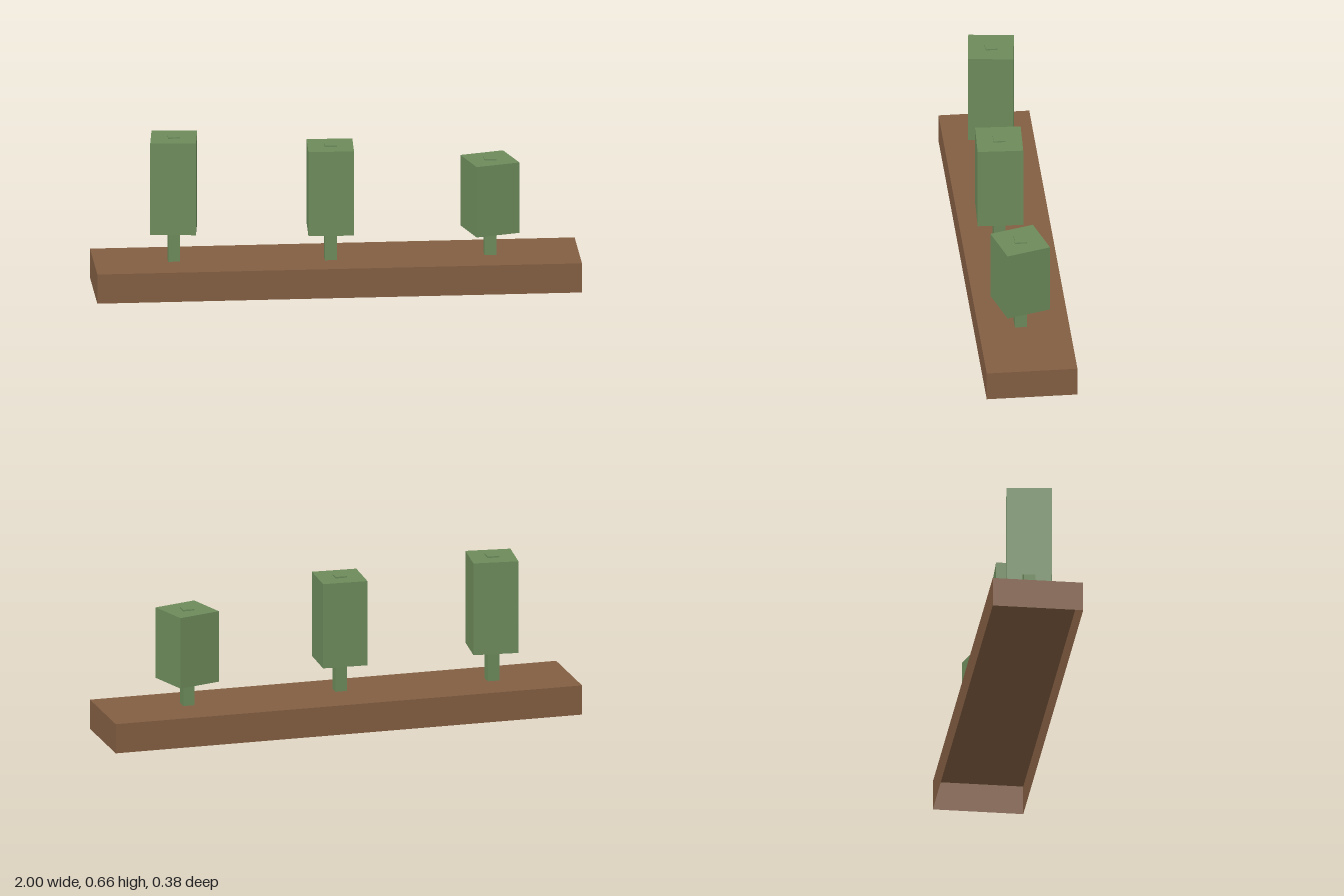
import * as THREE from 'three';

// Box standing on y = 0 with its underside left open
function openBox(width, height, depth) {
  const geometry = new THREE.BoxGeometry(width, height, depth);
  const index = Array.from(geometry.index.array);
  index.splice(18, 6); // drop the bottom face
  geometry.setIndex(index);
  geometry.clearGroups();
  geometry.translate(0, height / 2, 0);
  return geometry;
}

export function createModel() {
  const model = new THREE.Group();
  model.name = 'treePlanter';

  const soil = new THREE.MeshStandardMaterial({ name: 'earthBrown', color: 0x835e42, side: THREE.DoubleSide });
  const leaf = new THREE.MeshStandardMaterial({ name: 'leafGreen', color: 0x6d8b5b, side: THREE.DoubleSide });

  const add = (parent, name, geometry, material, y) => {
    const mesh = new THREE.Mesh(geometry, material);
    mesh.name = name;
    mesh.position.y = y;
    parent.add(mesh);
    return mesh;
  };

  // Long planter base, hollow underneath
  const baseHeight = 0.125;
  add(model, 'base', openBox(2, baseHeight, 0.375), soil, 0);

  // Trees: the crowns are turned, the trunks stay square and poke out on top
  const trees = [
    { name: 'tallTree', x: -0.67, z: 0.004, bottom: 0.26, top: 0.653, turn: -6.3 },
    { name: 'middleTree', x: -0.026, z: 0.034, bottom: 0.25, top: 0.611, turn: -2.4 },
    { name: 'shortTree', x: 0.634, z: 0.0125, bottom: 0.229, top: 0.531, turn: 16.3 },
  ];
  for (const { name, x, z, bottom, top, turn } of trees) {
    const tree = new THREE.Group();
    tree.name = name;
    tree.position.set(x, 0, z);
    add(tree, 'trunk', openBox(0.049, top + 0.006 - baseHeight, 0.049), leaf, baseHeight);
    const crown = add(tree, 'crown', openBox(0.188, top - bottom, 0.188), leaf, bottom);
    crown.rotation.y = THREE.MathUtils.degToRad(turn);
    model.add(tree);
  }

  return model;
}
